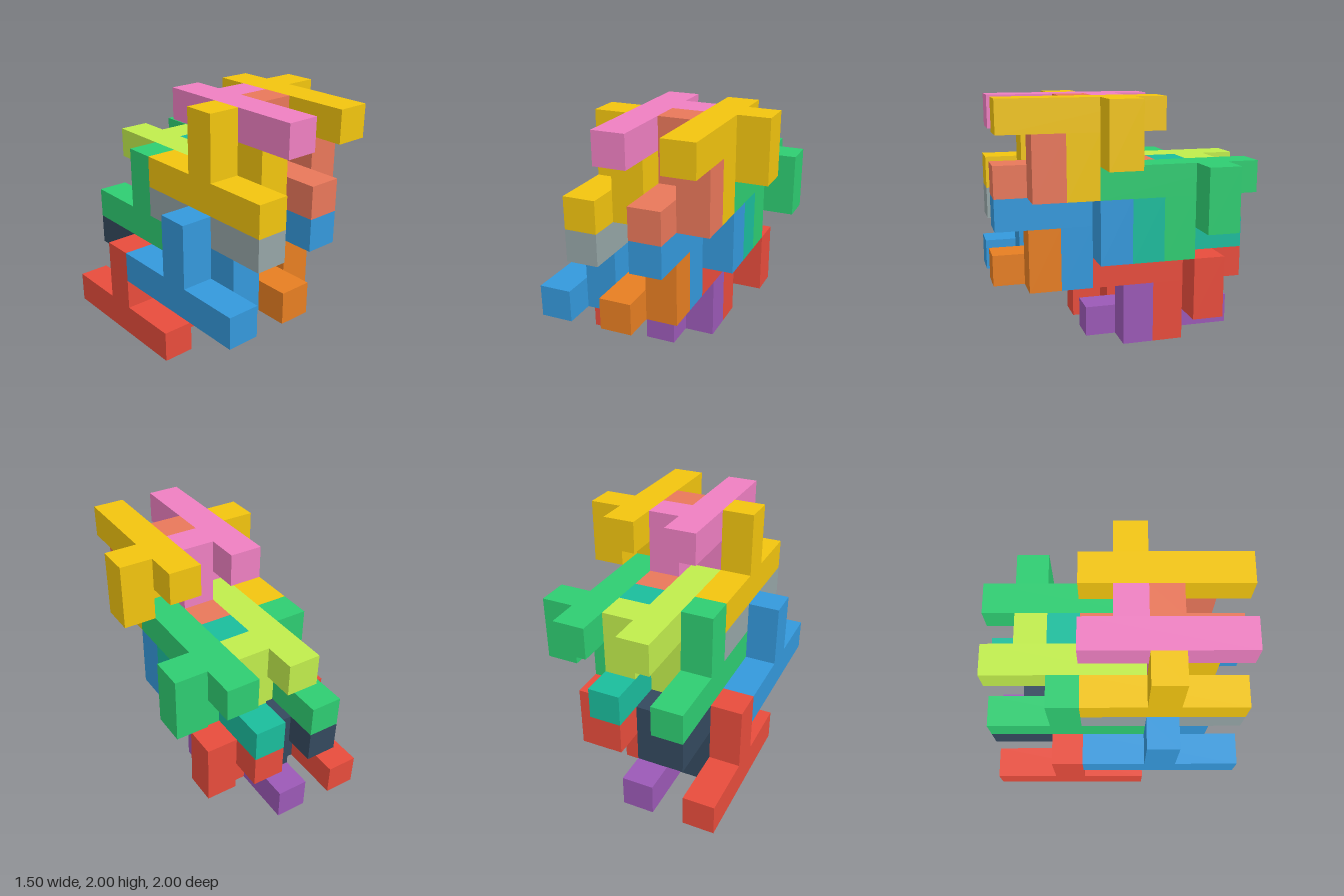
import * as THREE from 'three';

const U = 0.25; // edge of one cube cell

// Box covering whole cells: start cell (i, j, k) and size in cells
function cells(name, start, size, material) {
  const mesh = new THREE.Mesh(new THREE.BoxGeometry(...size.map((n) => n * U)), material);
  mesh.position.set(...start.map((c, a) => (c + size[a] / 2) * U));
  mesh.name = name;
  return mesh;
}

// Puzzle piece: five-cell bar along z, two-cell stem in its middle, two-cell side arm.
// dir = 1 points stem and arm up, dir = -1 is the piece turned over about x.
function createPiece(name, color, dir) {
  const material = new THREE.MeshStandardMaterial({ color, flatShading: true });
  const up = dir > 0;
  const piece = new THREE.Group();
  piece.name = name;
  piece.add(
    cells('bar', [0, 0, 0], [1, 1, 5], material),
    cells('stem', [0, up ? 1 : -2, 2], [1, 2, 1], material),
    cells('sideArm', [1, up ? 0 : -1, up ? 3 : 1], [1, 2, 1], material)
  );
  return piece;
}

export function createModel() {
  const model = new THREE.Group();
  model.name = 'interlockingPuzzle';

  const red = 0xe74c3c, blue = 0x3498db, green = 0x2ecc71, yellow = 0xf1c40f;

  // [colour, bar start cell] of the upright pieces and the turned-over pieces
  const upright = [
    [red, 0, 0, 0], [0x9b59b6, 2, 0, 0],
    [blue, 0, 2, 3], [0xe67e22, 2, 2, 3],
    [green, 1, 3, 0], [0x1abc9c, 3, 3, 0],
    [yellow, 1, 5, 3], [0xe8775a, 3, 5, 3],
  ];
  const turned = [
    [0x34495e, 1, 2, 0], [red, 3, 2, 0],
    [0x95a5a6, 1, 4, 3], [blue, 3, 4, 3],
    [0xc0ec4c, 2, 5, 0], [green, 4, 5, 0],
    [0xee7fc1, 2, 7, 3], [yellow, 4, 7, 3],
  ];

  for (const [list, label, dir] of [[upright, 'uprightPiece', 1], [turned, 'turnedPiece', -1]]) {
    list.forEach(([color, i, j, k], n) => {
      const piece = createPiece(label + (n + 1), color, dir);
      piece.position.set((i - 3) * U, j * U, (k - 4) * U);
      model.add(piece);
    });
  }
  return model;
}
